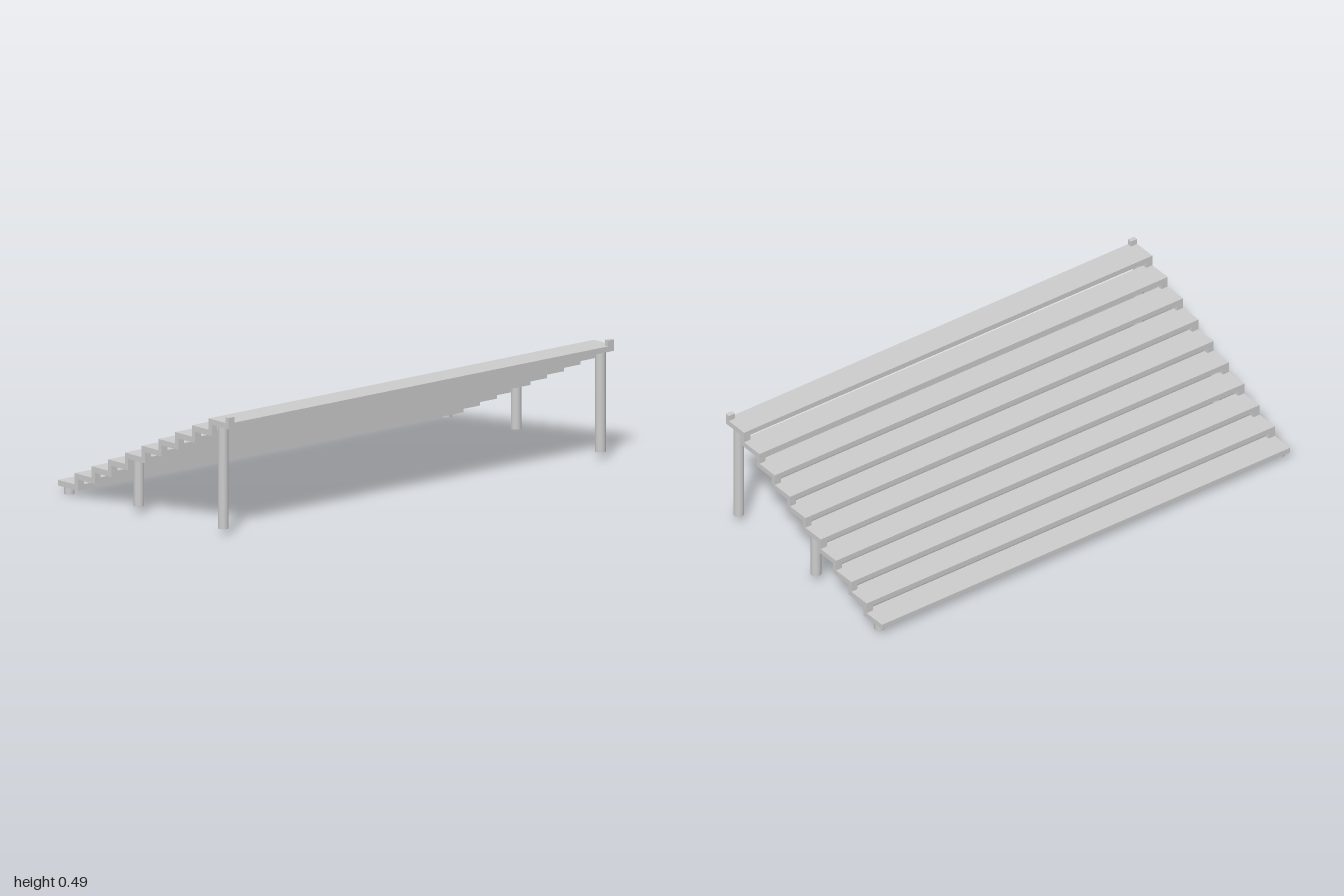
import * as THREE from 'three';

const material = new THREE.MeshStandardMaterial({ color: 0xcccccc });

// Staircase dimensions
const STEPS = 10, RUN = 0.1, RISE = 0.0458;
const TREAD_WIDTH = 0.12, TREAD_THICKNESS = 0.0225, TREAD_LENGTH = 2;
const FIRST_X = -0.45, FIRST_BOTTOM = 0.0275;
const BLOCK_X = 0.02, BLOCK_Z = 0.03;
const LEG_RADIUS = 0.021, LEG_Z = 0.979;

function add(parent, name, geometry, x, y, z) {
  const mesh = new THREE.Mesh(geometry, material);
  mesh.name = name;
  mesh.position.set(x, y, z);
  parent.add(mesh);
}

export function createModel() {
  const model = new THREE.Group();
  model.name = 'steppedBenches';

  // Long overlapping treads, each with a small spacer block at both ends of its upper edge
  const blockHeight = RISE - TREAD_THICKNESS;
  const treadGeometry = new THREE.BoxGeometry(TREAD_WIDTH, TREAD_THICKNESS, TREAD_LENGTH);
  const blockGeometry = new THREE.BoxGeometry(BLOCK_X, blockHeight, BLOCK_Z);
  for (let i = 0; i < STEPS; i++) {
    const x = FIRST_X + i * RUN;
    const bottom = FIRST_BOTTOM + i * RISE;
    add(model, 'tread', treadGeometry, x, bottom + TREAD_THICKNESS / 2, 0);
    for (const side of [-1, 1]) {
      add(model, 'spacerBlock', blockGeometry,
        x + (TREAD_WIDTH - BLOCK_X) / 2,
        bottom + TREAD_THICKNESS + blockHeight / 2,
        side * (TREAD_LENGTH - BLOCK_Z) / 2);
    }
  }

  // Round legs in pairs: [name, x, foot height, index of the tread carried]
  const legs = [
    ['lowLeg', -0.466, 0, 0],
    ['middleLeg', -0.051, FIRST_BOTTOM, 4],
    ['tallLeg', 0.453, FIRST_BOTTOM, 9],
  ];
  for (const [name, x, foot, step] of legs) {
    const top = FIRST_BOTTOM + step * RISE;
    const geometry = new THREE.CylinderGeometry(LEG_RADIUS, LEG_RADIUS, top - foot, 32);
    for (const side of [-1, 1]) add(model, name, geometry, x, (top + foot) / 2, side * LEG_Z);
  }

  return model;
}
